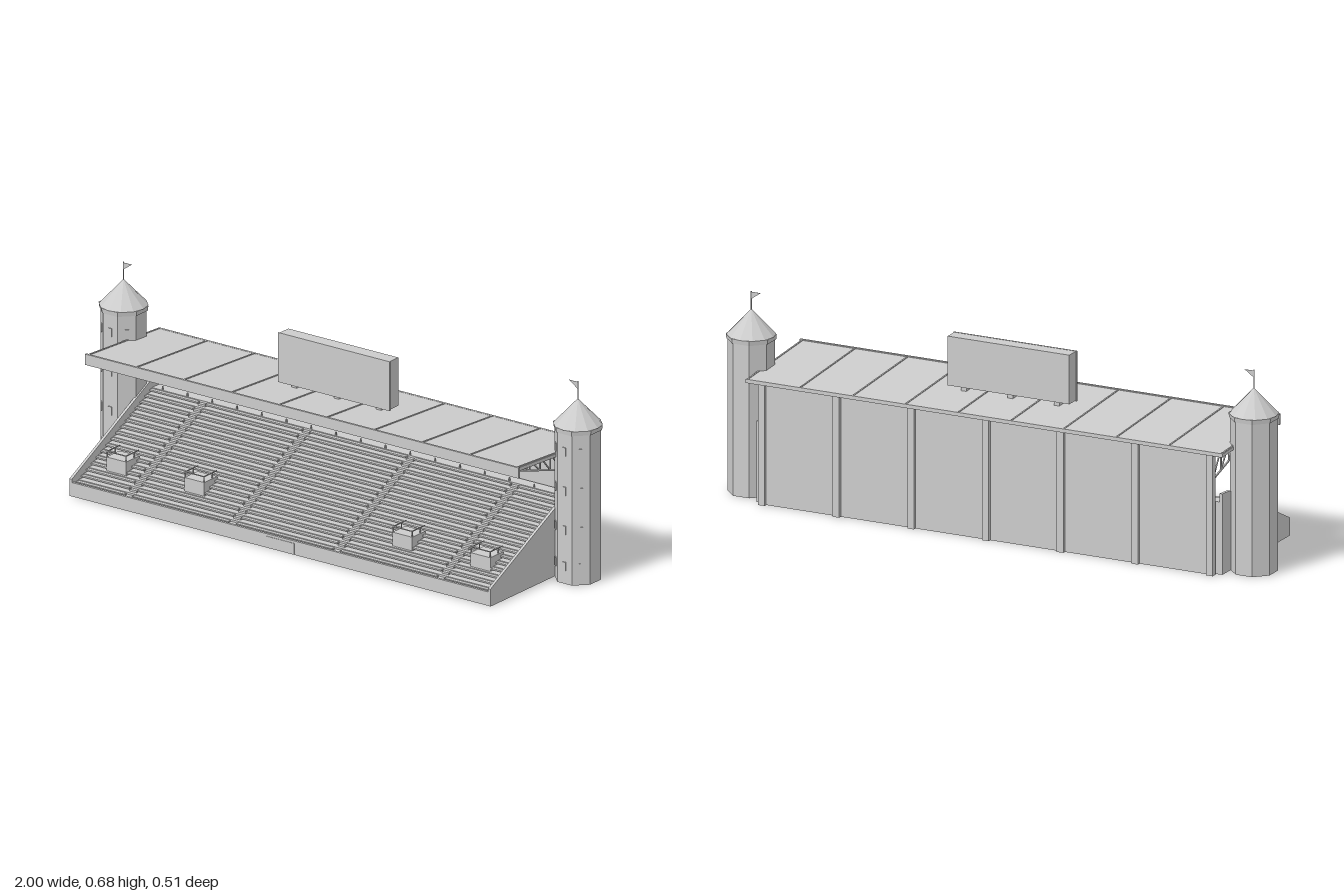
import * as THREE from 'three';

const grey = new THREE.MeshStandardMaterial({ color: 0xcccccc, flatShading: true });
grey.name = 'light grey';
const greySheet = grey; // one colour throughout

export function createModel() {
  const model = new THREE.Group();
  model.name = 'grandstand';

  const group = (name, parent = model) => {
    const g = new THREE.Group();
    g.name = name;
    parent.add(g);
    return g;
  };
  const add = (name, geo, parent = model) => {
    const m = new THREE.Mesh(geo, grey);
    m.name = name;
    parent.add(m);
    return m;
  };
  // box given by its min and max on each axis
  const block = (name, x0, x1, y0, y1, z0, z1, parent) => {
    const m = add(name, new THREE.BoxGeometry(x1 - x0, y1 - y0, z1 - z0), parent);
    m.position.set((x0 + x1) / 2, (y0 + y1) / 2, (z0 + z1) / 2);
    return m;
  };
  // (z, y) profile swept from x0 to x1
  const profile = (name, pts, x0, x1, parent) => {
    const shape = new THREE.Shape(pts.map(([z, y]) => new THREE.Vector2(z, y)));
    const geo = new THREE.ExtrudeGeometry(shape, { depth: x1 - x0, bevelEnabled: false });
    geo.rotateY(-Math.PI / 2).translate(x1, 0, 0);
    return add(name, geo, parent);
  };
  // square bar between two (z, y) points at a given x
  const bar = (name, x, [z0, y0], [z1, y1], t, parent) => {
    const m = add(name, new THREE.BoxGeometry(t, t, Math.hypot(z1 - z0, y1 - y0)), parent);
    m.position.set(x, (y0 + y1) / 2, (z0 + z1) / 2);
    m.rotation.x = -Math.atan2(y1 - y0, z1 - z0);
    return m;
  };

  // Stepped seating
  const rows = 16, zFront = 0.245, depth = 0.0265, yFront = 0.035, rise = 0.0132;
  const steps = [[-0.222, 0], [zFront, 0]];
  for (let i = 0; i < rows; i++) {
    const y = yFront + i * rise;
    steps.push([zFront - i * depth, y], [zFront - (i + 1) * depth, y]);
  }
  const yTop = yFront + rows * rise;
  steps.push([zFront - rows * depth, yTop], [-0.222, yTop]);
  profile('seatingSteps', steps, -0.84, 0.84);

  // Benches in five sections, split by aisles
  const aisles = [-0.63, -0.21, 0.21, 0.63];
  const edges = [-0.855, ...aisles, 0.855];
  const benches = group('benches');
  for (let i = 0; i < rows; i++) {
    const y = yFront + i * rise, z = zFront - (i + 1) * depth;
    for (let s = 0; s < 5; s++)
      block('bench', edges[s] + 0.016, edges[s + 1] - 0.016, y + 0.006, y + 0.011, z + 0.002, z + 0.015, benches);
    for (const x of aisles)
      block('aisleStep', x - 0.014, x + 0.014, y, y + rise / 2, z, z + depth / 2, benches);
  }

  // Side walls, front wall and gate
  const side = [[-0.222, 0], [0.255, 0], [0.256, 0.06], [-0.168, 0.271], [-0.222, 0.275]];
  for (const s of [-1, 1]) profile('sideWall', side, s * 0.845 - 0.005, s * 0.845 + 0.005);
  block('frontWall', -0.85, 0.85, 0, 0.048, 0.245, 0.254);
  for (const x of [-0.03, 0.03]) block('frontGate', x - 0.028, x + 0.028, 0.004, 0.04, 0.253, 0.256);
  for (let i = 0; i <= 16; i++) {
    const x = -0.8 + i * 0.1;
    block('topRailPost', x - 0.002, x + 0.002, yTop, yTop + 0.012, -0.185, -0.181);
  }

  // Stair entrances rising through the seats, with railings
  for (const x of [-0.735, -0.42, 0.42, 0.735]) {
    const e = group('seatEntrance');
    block('entranceBox', x - 0.04, x + 0.04, 0.07, 0.122, 0.085, 0.156, e);
    for (const s of [-1, 1]) {
      const rx = x + s * 0.038;
      block('sideRail', rx - 0.0015, rx + 0.0015, 0.14, 0.143, 0.085, 0.156, e);
      for (const z of [0.11, 0.154])
        block('railPost', rx - 0.0015, rx + 0.0015, 0.122, 0.142, z - 0.0015, z + 0.0015, e);
    }
    block('frontRail', x - 0.04, x + 0.04, 0.14, 0.143, 0.153, 0.156, e);
  }

  // Back wall
  block('backWall', -0.83, 0.83, 0, 0.412, -0.238, -0.23);

  // Roof slab, seams and fascias
  const roof = group('roof');
  profile('roofSlab', [[-0.255, 0.412], [0.132, 0.435], [0.132, 0.447], [-0.255, 0.423]], -0.87, 0.87, roof);
  block('frontFascia', -0.875, 0.875, 0.413, 0.45, 0.13, 0.138, roof);
  block('backFascia', -0.87, 0.87, 0.411, 0.424, -0.258, -0.25, roof);
  for (let i = 0; i <= 9; i++) {
    const x = -0.865 + i * (1.73 / 9);
    bar('roofSeam', x, [-0.25, 0.423], [0.128, 0.447], 0.005, roof);
  }
  // Lengthwise purlins
  for (const z of [-0.17, -0.08, 0.01, 0.1]) {
    const y = 0.4275 + z * 0.0594;
    block('purlin', -0.85, 0.85, y - 0.007, y + 0.002, z - 0.004, z + 0.004, roof);
  }

  // Seven roof trusses, each with a post and a rear pilaster
  const lerp = (a, b, t) => [a[0] + (b[0] - a[0]) * t, a[1] + (b[1] - a[1]) * t];
  const topA = [0.112, 0.428], topB = [-0.225, 0.406];
  const lowA = [0.112, 0.42], lowB = [-0.225, 0.32];
  for (let i = -3; i <= 3; i++) {
    const x = i * 0.2725, t = group('roofTruss');
    bar('topChord', x, topA, topB, 0.006, t);
    bar('bottomChord', x, lowA, lowB, 0.005, t);
    for (let k = 0; k < 6; k++) {
      const a = k / 6, b = (k + 1) / 6;
      bar('upright', x, lerp(topA, topB, a), lerp(lowA, lowB, a), 0.004, t);
      bar('diagonal', x, lerp(lowA, lowB, b), lerp(topA, topB, a), 0.004, t);
    }
    block('rearPost', x - 0.004, x + 0.004, 0.23, 0.412, -0.228, -0.222, t);
    block('pilaster', x - 0.012, x + 0.012, 0, 0.414, -0.25, -0.23, t);
  }

  // Display board on the roof
  const board = group('displayBoard');
  block('boardPanel', -0.222, 0.222, 0.45, 0.617, -0.088, -0.039, board);
  block('boardFrame', -0.225, 0.225, 0.447, 0.618, -0.041, -0.037, board);
  for (const x of [-0.17, 0, 0.17]) block('boardFoot', x - 0.01, x + 0.01, 0.42, 0.452, -0.075, -0.05, board);

  // Corner towers
  const R = 0.0715 / Math.cos(Math.PI / 8);
  for (const s of [-1, 1]) {
    const t = group('tower');
    t.position.set(s * 0.917, 0, -0.128);
    const body = add('towerBody', new THREE.CylinderGeometry(R, R, 0.522, 8), t);
    body.rotation.y = Math.PI / 8;
    body.position.y = 0.261;
    const collar = add('towerCollar', new THREE.CylinderGeometry(0.083, 0.081, 0.016, 8), t);
    collar.rotation.y = Math.PI / 8;
    collar.position.y = 0.526;
    add('towerRoof', new THREE.ConeGeometry(0.081, 0.086, 12), t).position.y = 0.577;
    add('flagPole', new THREE.CylinderGeometry(0.0018, 0.0018, 0.07, 6), t).position.y = 0.645;
    // Triangular flag, thin and pointing inward
    const flagShape = new THREE.Shape();
    flagShape.moveTo(0, 0.653).lineTo(-s * 0.034, 0.677).lineTo(0, 0.677);
    flagShape.closePath();
    add('flag', new THREE.ExtrudeGeometry(flagShape, { depth: 0.001, bevelEnabled: false }), t);
    // Narrow windows on the three front faces
    for (const y of [0.061, 0.186, 0.321, 0.457])
      for (const a of [-1, 0, 1]) {
        const w = add('towerWindow', new THREE.BoxGeometry(0.013, 0.029, 0.007), t);
        const angle = a * Math.PI / 4;
        w.position.set(Math.sin(angle) * 0.0715, y, Math.cos(angle) * 0.0715);
        w.rotation.y = angle;
      }
  }
  return model;
}
